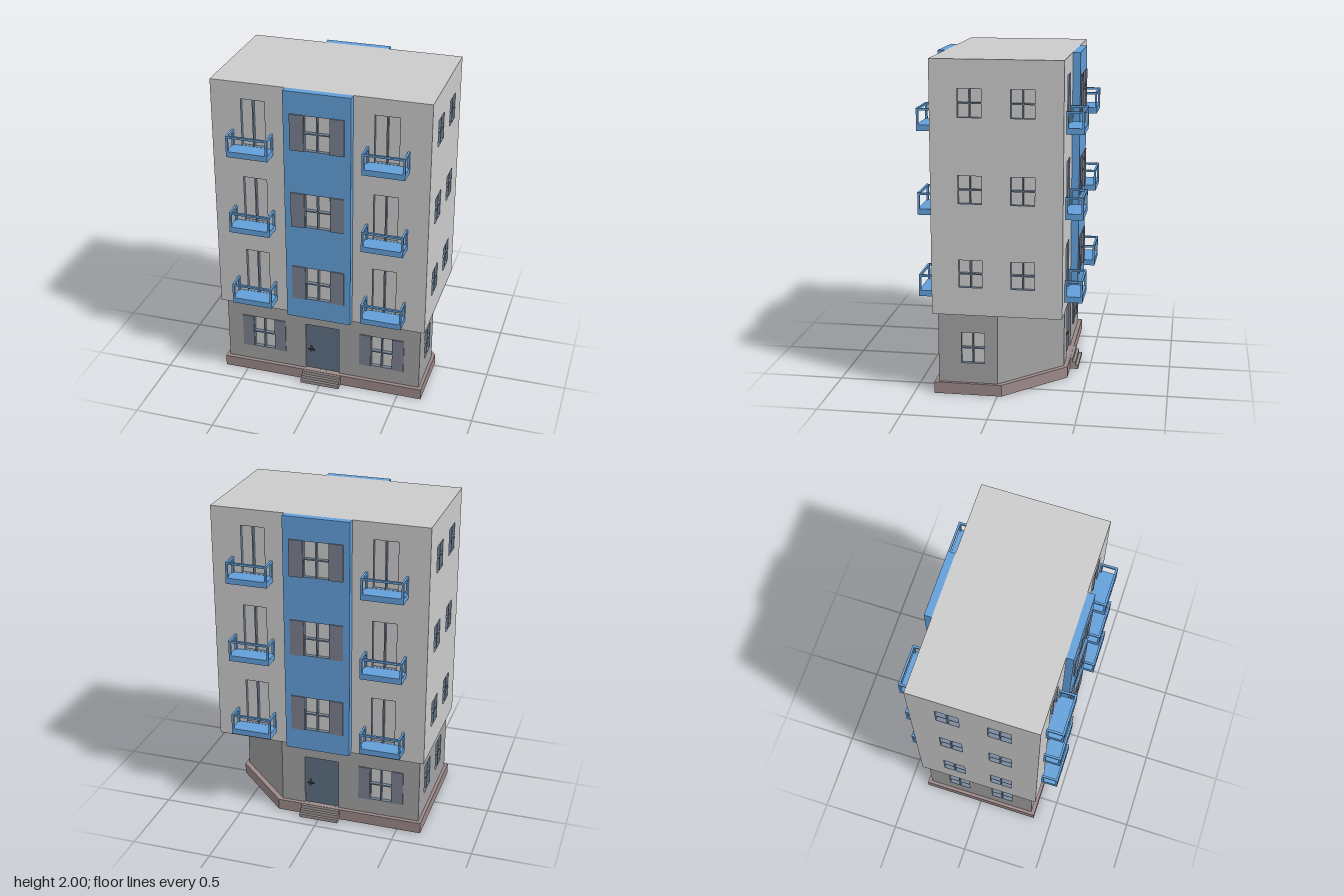
import * as THREE from 'three';

const mat = (color) => new THREE.MeshStandardMaterial({ color });
const M = {
  wall: mat(0xcccccc), lower: mat(0xa2a2a2), blue: mat(0x63a0da), pane: mat(0xdcdcdc),
  frame: mat(0x76879b), shutter: mat(0x7b8090), door: mat(0x5f6f82), metal: mat(0x3f4a58),
  plinth: mat(0x9d8989), step: mat(0x9b9292),
};
const RECESS = 0.025;

function add(parent, name, geometry, material, x = 0, y = 0, z = 0) {
  const mesh = new THREE.Mesh(geometry, material);
  mesh.name = name;
  mesh.position.set(x, y, z);
  parent.add(mesh);
  return mesh;
}

// Box given by its limits on each axis
function box(parent, name, material, x0, x1, y0, y1, z0, z1) {
  return add(parent, name, new THREE.BoxGeometry(x1 - x0, y1 - y0, z1 - z0), material,
    (x0 + x1) / 2, (y0 + y1) / 2, (z0 + z1) / 2);
}

function rectPoints([x0, x1, y0, y1]) {
  return [[x0, y0], [x1, y0], [x1, y1], [x0, y1]].map(([x, y]) => new THREE.Vector2(x, y));
}

// Slab with rectangular openings; its outer face lies at z
function slab(parent, name, material, rect, holes, depth, z) {
  const shape = new THREE.Shape(rectPoints(rect));
  holes.forEach((h) => shape.holes.push(new THREE.Path(rectPoints(h).reverse())));
  const geometry = new THREE.ExtrudeGeometry(shape, { depth, bevelEnabled: false });
  return add(parent, name, geometry, material, 0, 0, z - depth);
}

const around = (cx, cy, w, h) => [cx - w / 2, cx + w / 2, cy - h / 2, cy + h / 2];

// Recessed panes behind a frame with glazing bars
function windowIn(parent, [x0, x1, y0, y1], z, rows = 2) {
  const edge = 0.003, bar = 0.008, holes = [];
  const w = (x1 - x0 - 2 * edge - bar) / 2;
  const h = (y1 - y0 - 2 * edge - (rows - 1) * bar) / rows;
  for (let c = 0; c < 2; c++) {
    for (let r = 0; r < rows; r++) {
      const x = x0 + edge + c * (w + bar), y = y0 + edge + r * (h + bar);
      holes.push([x, x + w, y, y + h]);
    }
  }
  slab(parent, 'windowFrame', M.frame, [x0, x1, y0, y1], holes, RECESS, z);
  box(parent, 'windowPane', M.pane, x0, x1, y0, y1, z - RECESS, z - RECESS + 0.002);
}

function shutters(parent, [x0, x1, y0, y1], w, z) {
  box(parent, 'leftShutter', M.shutter, x1, x1 + w, y0, y1, z, z + 0.007);
  box(parent, 'rightShutter', M.shutter, x0 - w, x0, y0, y1, z, z + 0.007);
}

// Slab floor with an open railing on three sides
function balcony(parent, cx, y, z) {
  const g = new THREE.Group();
  g.name = 'balcony';
  g.position.set(cx, y, z);
  parent.add(g);
  const w = 0.127, d = 0.105, t = 0.013, top = 0.133;
  box(g, 'balconyFloor', M.blue, -w, w, 0, 0.036, 0, d);
  box(g, 'frontRail', M.blue, -w, w, top - t, top, d - t, d);
  for (const s of [-1, 1]) {
    const a = s < 0 ? -w : w - t;
    box(g, 'sideRail', M.blue, a, a + t, top - t, top, 0, d - t);
    box(g, 'frontPost', M.blue, a, a + t, 0.036, top - t, d - t, d);
    box(g, 'wallPost', M.blue, a, a + t, 0.036, top - t, 0, t);
  }
}

// Entrance door with handle, and the steps before it
function entrance(parent, z) {
  box(parent, 'door', M.door, -0.11, 0.11, 0.07, 0.4, z - RECESS, z - 0.01);
  const plate = add(parent, 'handlePlate', new THREE.CylinderGeometry(0.01, 0.01, 0.006, 16), M.metal, -0.077, 0.215, z - 0.007);
  plate.rotation.x = Math.PI / 2;
  plate.scale.z = 2.6;
  const lever = add(parent, 'handleLever', new THREE.CylinderGeometry(0.004, 0.004, 0.042, 8), M.metal, -0.07, 0.218, z + 0.002);
  lever.rotation.z = Math.PI / 2;
  [0.43, 0.413, 0.396].forEach((front, i) =>
    box(parent, 'step', M.step, -0.126, 0.126, i * 0.0225, (i + 1) * 0.0225, 0.36, front));
}

// Long side: balconies, coloured strip, door and shuttered windows
function longFacade(parent, name, angle, groundX0, groundWindows) {
  const g = new THREE.Group();
  g.name = name;
  g.rotation.y = angle;
  parent.add(g);
  const tall = [], middle = [];
  for (let i = 0; i < 3; i++) {
    const y = 0.5 + i * 0.5;
    for (const s of [-1, 1]) {
      tall.push(around(s * 0.402, y + 0.25, 0.152, 0.3));
      balcony(g, s * 0.41, y + 0.066, 0.385);
    }
    middle.push(around(0, y + 0.25, 0.158, 0.225));
  }
  slab(g, 'upperWall', M.wall, [-0.66, 0.66, 0.5, 2], tall, RECESS, 0.385);
  tall.forEach((r) => windowIn(g, r, 0.385, 1));
  slab(g, 'colouredStrip', M.blue, [-0.203, 0.203, 0.5, 2], middle, 0.045, 0.43);
  middle.forEach((r) => {
    windowIn(g, r, 0.43);
    shutters(g, r, 0.085, 0.43);
  });
  const ground = groundWindows.map((x) => around(x, 0.283, 0.14, 0.225));
  slab(g, 'groundWall', M.lower, [groundX0, 0.63, 0.07, 0.5],
    [...ground, [-0.11, 0.11, 0.0701, 0.4]], RECESS, 0.355);
  ground.forEach((r) => {
    windowIn(g, r, 0.355);
    shutters(g, r, 0.073, 0.355);
  });
  entrance(g, 0.355);
}

// Short side: plain walls with small windows
function shortFacade(parent, name, angle, groundX1, groundWindows) {
  const g = new THREE.Group();
  g.name = name;
  g.rotation.y = angle;
  parent.add(g);
  const upper = [];
  for (let i = 0; i < 3; i++) {
    for (const s of [-1, 1]) upper.push(around(s * 0.153, 0.752 + i * 0.5, 0.144, 0.17));
  }
  slab(g, 'upperWall', M.wall, [-0.36, 0.36, 0.5, 2], upper, RECESS, 0.66);
  upper.forEach((r) => windowIn(g, r, 0.66));
  const ground = groundWindows.map((x) => around(x, 0.288, 0.144, 0.195));
  slab(g, 'groundWall', M.lower, [-0.33, groundX1, 0.07, 0.5], ground, RECESS, 0.63);
  ground.forEach((r) => windowIn(g, r, 0.63));
}

// Upright prism from a floor plan of [x, z] corners
function prism(parent, name, material, plan, y0, y1) {
  const shape = new THREE.Shape(plan.map(([x, z]) => new THREE.Vector2(x, -z)));
  const geometry = new THREE.ExtrudeGeometry(shape, { depth: y1 - y0, bevelEnabled: false });
  geometry.rotateX(-Math.PI / 2);
  return add(parent, name, geometry, material, 0, y0, 0);
}

export function createModel() {
  const model = new THREE.Group();
  model.name = 'apartmentBuilding';

  // Plinth and ground floor, with one back corner cut off
  prism(model, 'plinth', M.plinth,
    [[-0.65, 0.38], [0.65, 0.38], [0.65, -0.025], [0.28, -0.38], [-0.65, -0.38]], 0, 0.07);
  prism(model, 'groundCore', M.lower, [[-0.605, 0.33], [0.605, 0.33], [0.605, 0], [0.63, 0],
    [0.26, -0.355], [0.26, -0.33], [-0.605, -0.33]], 0.07, 0.5);

  // Upper block behind the wall slabs
  box(model, 'upperCore', M.wall, -0.635, 0.635, 0.5, 2, -0.36, 0.36);

  longFacade(model, 'frontFacade', 0, -0.63, [-0.386, 0.386]);
  longFacade(model, 'backFacade', Math.PI, -0.26, [0.386]);
  shortFacade(model, 'leftFacade', Math.PI / 2, 0, [-0.148]);
  shortFacade(model, 'rightFacade', -Math.PI / 2, 0.33, [-0.148, 0.148]);
  return model;
}
